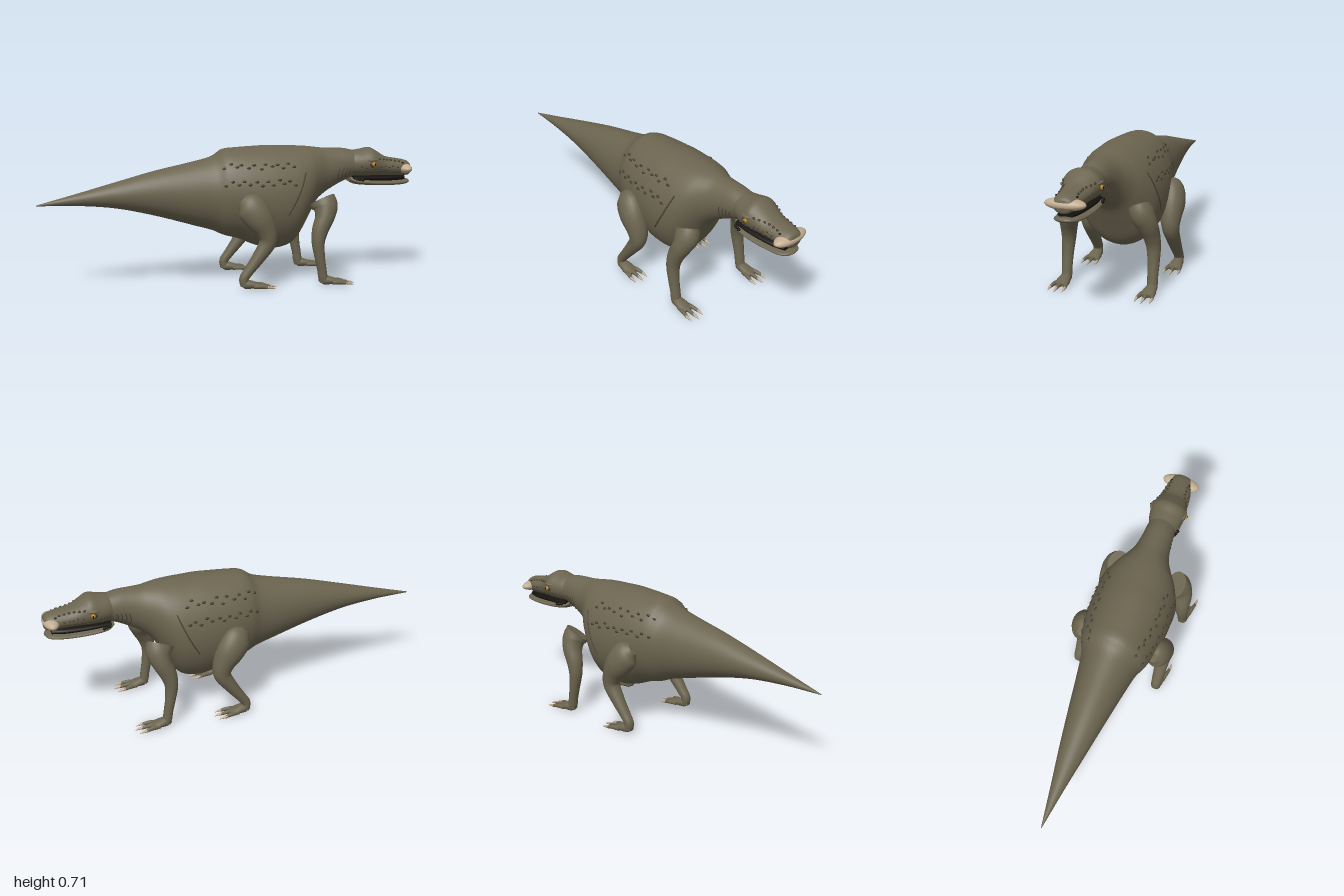
import * as THREE from 'three';

const mat = (name, color) => {
  const m = new THREE.MeshStandardMaterial({ color });
  m.name = name;
  return m;
};

// Smoothly interpolated cross-sections: rows of [x, y, z, radius in plane, radius sideways]
function profile(rows) {
  const path = new THREE.CatmullRomCurve3(rows.map(r => new THREE.Vector3(r[0], r[1], r[2])), false, 'catmullrom', 0.5);
  const radii = new THREE.CatmullRomCurve3(rows.map(r => new THREE.Vector3(r[3], r[4], 0)), false, 'catmullrom', 0.5);
  return { path, radii };
}

// Skin elliptical rings along a profile; upright keeps every ring vertical across x
function loft({ path, radii }, steps, sides, upright = false) {
  const pos = [], idx = [];
  const zAxis = new THREE.Vector3(0, 0, 1);
  for (let i = 0; i <= steps; i++) {
    const t = i / steps, c = path.getPoint(t), r = radii.getPoint(t);
    const T = upright ? new THREE.Vector3(1, 0, 0) : path.getTangent(t);
    const B = zAxis.clone().addScaledVector(T, -T.z).normalize();
    const N = B.clone().cross(T);
    for (let j = 0; j < sides; j++) {
      const a = (j / sides) * Math.PI * 2;
      const p = c.clone().addScaledVector(N, Math.cos(a) * Math.max(r.x, 0.0005))
        .addScaledVector(B, Math.sin(a) * Math.max(r.y, 0.0005));
      pos.push(p.x, p.y, p.z);
    }
  }
  for (let i = 0; i < steps; i++) for (let j = 0; j < sides; j++) {
    const a = i * sides + j, b = i * sides + (j + 1) % sides;
    idx.push(a, b, a + sides, b, b + sides, a + sides);
  }
  // Flat end caps with their own vertices
  for (const end of [0, steps]) {
    const base = pos.length / 3, c = path.getPoint(end / steps);
    for (let j = 0; j < sides; j++) pos.push(...pos.slice((end * sides + j) * 3, (end * sides + j) * 3 + 3));
    pos.push(c.x, c.y, c.z);
    for (let j = 0; j < sides; j++) {
      const a = base + j, b = base + (j + 1) % sides;
      if (end) idx.push(base + sides, a, b); else idx.push(base + sides, b, a);
    }
  }
  const g = new THREE.BufferGeometry();
  g.setAttribute('position', new THREE.Float32BufferAttribute(pos, 3));
  g.setIndex(idx);
  g.computeVertexNormals();
  return g;
}

// Point on the side of an upright profile at a given x and y
function onSkin({ path, radii }, x, y, side, lift = 0) {
  let lo = 0, hi = 1;
  for (let k = 0; k < 24; k++) {
    const m = (lo + hi) / 2;
    if (path.getPoint(m).x < x) lo = m; else hi = m;
  }
  const c = path.getPoint(lo), r = radii.getPoint(lo);
  const z = r.y * Math.sqrt(Math.max(0, 1 - ((y - c.y) / r.x) ** 2));
  return new THREE.Vector3(x, y, side * (z + lift));
}

// [x, top, bottom, half width] to a profile row
const span = ([x, top, bottom, w]) => [x, (top + bottom) / 2, 0, (top - bottom) / 2, w];

export function createModel() {
  const model = new THREE.Group();
  const hide = mat('olive hide', 0x6b644f);
  const horn = mat('pale horn', 0xc2ad91);
  const scale = mat('dark scales', 0x453c2e);
  const crease = mat('skin creases', 0x4b4536);
  const amber = mat('amber eye', 0xb57f22);
  const black = mat('black', 0x15120f);

  const add = (name, geometry, material, parent = model) => {
    const mesh = new THREE.Mesh(geometry, material);
    mesh.name = name;
    parent.add(mesh);
    return mesh;
  };
  const ball = new THREE.SphereGeometry(1, 28, 20);
  const pebble = new THREE.SphereGeometry(1, 8, 6);
  const blob = (name, geometry, material, p, sx, sy, sz) => {
    const m = add(name, geometry, material);
    m.position.copy(p);
    m.scale.set(sx, sy, sz);
    return m;
  };
  let seed = 7;
  const rnd = () => (seed = (seed * 16807) % 2147483647) / 2147483647 - 0.5;

  // Tail, trunk and neck
  const body = profile([
    [-1, 0.434, 0.430, 0.002], [-0.8, 0.485, 0.425, 0.034], [-0.6, 0.538, 0.405, 0.068],
    [-0.4, 0.590, 0.360, 0.100], [-0.2, 0.632, 0.302, 0.132], [-0.1, 0.658, 0.272, 0.152],
    [-0.04, 0.694, 0.245, 0.178], [0.04, 0.702, 0.222, 0.198], [0.12, 0.706, 0.188, 0.210],
    [0.2, 0.709, 0.167, 0.215], [0.28, 0.706, 0.172, 0.212], [0.34, 0.704, 0.212, 0.200],
    [0.4, 0.700, 0.315, 0.168], [0.45, 0.694, 0.400, 0.128], [0.5, 0.688, 0.445, 0.098],
    [0.56, 0.686, 0.482, 0.083], [0.62, 0.682, 0.512, 0.076], [0.69, 0.665, 0.540, 0.070],
  ].map(span));
  add('body', loft(body, 110, 40, true), hide);

  // Skull and muzzle
  const head = profile([
    [0.62, 0.66, 0.54, 0.05], [0.66, 0.67, 0.535, 0.074], [0.71, 0.676, 0.530, 0.088],
    [0.76, 0.684, 0.530, 0.094], [0.80, 0.664, 0.530, 0.084], [0.85, 0.634, 0.530, 0.073],
    [0.91, 0.622, 0.528, 0.066], [0.96, 0.612, 0.528, 0.058], [0.985, 0.598, 0.532, 0.044],
    [0.992, 0.570, 0.555, 0.010],
  ].map(span));
  add('skull', loft(head, 50, 32, true), hide);

  // Lower jaw and the dark mouth between the jaws
  add('lowerJaw', loft(profile([
    [0.645, 0.535, 0.505, 0.045], [0.68, 0.526, 0.490, 0.070], [0.76, 0.516, 0.482, 0.078],
    [0.86, 0.510, 0.478, 0.072], [0.94, 0.511, 0.480, 0.062], [0.975, 0.510, 0.487, 0.042],
    [0.988, 0.502, 0.496, 0.012],
  ].map(span)), 36, 28, true), hide);
  add('mouth', loft(profile([
    [0.66, 0.540, 0.510, 0.058], [0.75, 0.540, 0.505, 0.066],
    [0.88, 0.538, 0.500, 0.058], [0.955, 0.535, 0.502, 0.038],
  ].map(span)), 16, 20, true), black);

  // Broad horn pad across the snout
  blob('snoutHorn', ball, horn, new THREE.Vector3(0.953, 0.568, 0), 0.042, 0.029, 0.1);

  for (const s of [1, -1]) {
    // Eyes, brows and mouth corners
    blob('eyeSocket', ball, scale, new THREE.Vector3(0.752, 0.602, s * 0.084), 0.023, 0.019, 0.012);
    blob('eye', ball, amber, new THREE.Vector3(0.757, 0.602, s * 0.093), 0.012, 0.012, 0.012);
    blob('pupil', pebble, black, new THREE.Vector3(0.76, 0.602, s * 0.1035), 0.004, 0.008, 0.003);
    blob('brow', ball, hide, new THREE.Vector3(0.752, 0.623, s * 0.083), 0.03, 0.009, 0.016);
    for (let i = 0; i < 3; i++)
      blob('mouthCorner', pebble, black, new THREE.Vector3(0.675 + i * 0.014, 0.522 - i * 0.002, s * (0.068 + i * 0.004)), 0.009, 0.008, 0.008);
    blob('nostril', pebble, black, new THREE.Vector3(0.935, 0.6, s * 0.05), 0.008, 0.004, 0.005);

    // Scales on the face and knobs along the muzzle
    for (let i = 0; i < 18; i++) {
      const x = 0.70 + (i % 9) * 0.025 + rnd() * 0.012;
      const y = (i < 9 ? 0.585 : 0.561) + rnd() * 0.012;
      if (Math.hypot(x - 0.755, y - 0.602) > 0.026) blob('faceScale', pebble, scale, onSkin(head, x, y, s), 0.006, 0.004, 0.004);
    }
    for (let i = 0; i < 6; i++)
      blob('muzzleKnob', pebble, scale, onSkin(head, 0.795 + i * 0.024, 0.628 - i * 0.004, s), 0.008, 0.006, 0.006);

    // Two double rows of scales along the flank
    for (const row of [0.618, 0.535]) for (let i = 0; i < 13; i++) {
      const x = -0.06 + i * 0.03 + rnd() * 0.012;
      const y = row + (i % 2 ? 0.01 : -0.008) + rnd() * 0.014;
      blob('flankScale', pebble, scale, onSkin(body, x, y, s), 0.011, 0.007, 0.006);
    }

    // Skin fold behind the shoulder and folds on the throat
    const fold = (name, x0, y0, x1, y1, bow, r) => {
      const pts = [0, 0.25, 0.5, 0.75, 1].map(t =>
        onSkin(body, x0 + (x1 - x0) * t + bow * Math.sin(t * Math.PI), y0 + (y1 - y0) * t, s, 0.0005));
      add(name, new THREE.TubeGeometry(new THREE.CatmullRomCurve3(pts), 20, r, 6), crease);
    };
    fold('shoulderFold', 0.255, 0.365, 0.358, 0.58, 0.008, 0.004);
    for (let i = 0; i < 4; i++) fold('throatFold', 0.57 + i * 0.021, 0.515 + i * 0.01, 0.575 + i * 0.021, 0.585, -0.006, 0.0025);

    // Legs
    const limb = (name, rows, footX) => {
      const leg = new THREE.Group();
      leg.name = name;
      model.add(leg);
      add('limb', loft(profile(rows.map(([x, y, z, a, b]) => [x, y, s * z, a, b])), 44, 24), hide, leg);
      // Foot with three clawed toes
      add('foot', loft(profile([
        [footX - 0.025, 0.022, s * 0.226, 0.006, 0.015], [footX, 0.026, s * 0.226, 0.024, 0.027],
        [footX + 0.05, 0.020, s * 0.226, 0.017, 0.034], [footX + 0.085, 0.013, s * 0.226, 0.009, 0.030],
      ]), 14, 16), hide, leg);
      for (const k of [-1, 0, 1]) {
        const z0 = s * (0.226 + k * 0.024), z1 = s * (0.226 + k * 0.038), reach = k ? 0.115 : 0.13;
        add('toe', loft(profile([
          [footX + 0.04, 0.016, z0, 0.011, 0.011], [footX + 0.08, 0.016, (z0 + z1) / 2, 0.011, 0.010],
          [footX + reach, 0.010, z1, 0.007, 0.008],
        ]), 8, 10), hide, leg);
        add('claw', loft(profile([
          [footX + reach - 0.008, 0.011, z1, 0.008, 0.008], [footX + reach + 0.012, 0.009, z1, 0.006, 0.006],
          [footX + reach + 0.034, 0.003, z1, 0.001, 0.001],
        ]), 6, 8), horn, leg);
      }
    };
    limb('hindLeg', [
      [0.015, 0.455, 0.195, 0.030, 0.025], [0.05, 0.425, 0.205, 0.072, 0.055], [0.095, 0.365, 0.215, 0.074, 0.064],
      [0.135, 0.295, 0.218, 0.056, 0.054], [0.142, 0.235, 0.222, 0.044, 0.043], [0.098, 0.165, 0.224, 0.034, 0.036],
      [0.045, 0.095, 0.225, 0.026, 0.029], [0.018, 0.055, 0.226, 0.024, 0.026], [0.022, 0.018, 0.226, 0.022, 0.026],
    ], 0.025);
    limb('foreLeg', [
      [0.448, 0.435, 0.165, 0.072, 0.056], [0.462, 0.400, 0.182, 0.064, 0.060], [0.452, 0.350, 0.203, 0.050, 0.053],
      [0.425, 0.290, 0.216, 0.043, 0.043], [0.412, 0.225, 0.223, 0.034, 0.036], [0.420, 0.150, 0.226, 0.027, 0.030],
      [0.432, 0.085, 0.226, 0.024, 0.027], [0.438, 0.045, 0.226, 0.024, 0.027], [0.445, 0.018, 0.226, 0.022, 0.026],
    ], 0.445);
  }
  return model;
}
